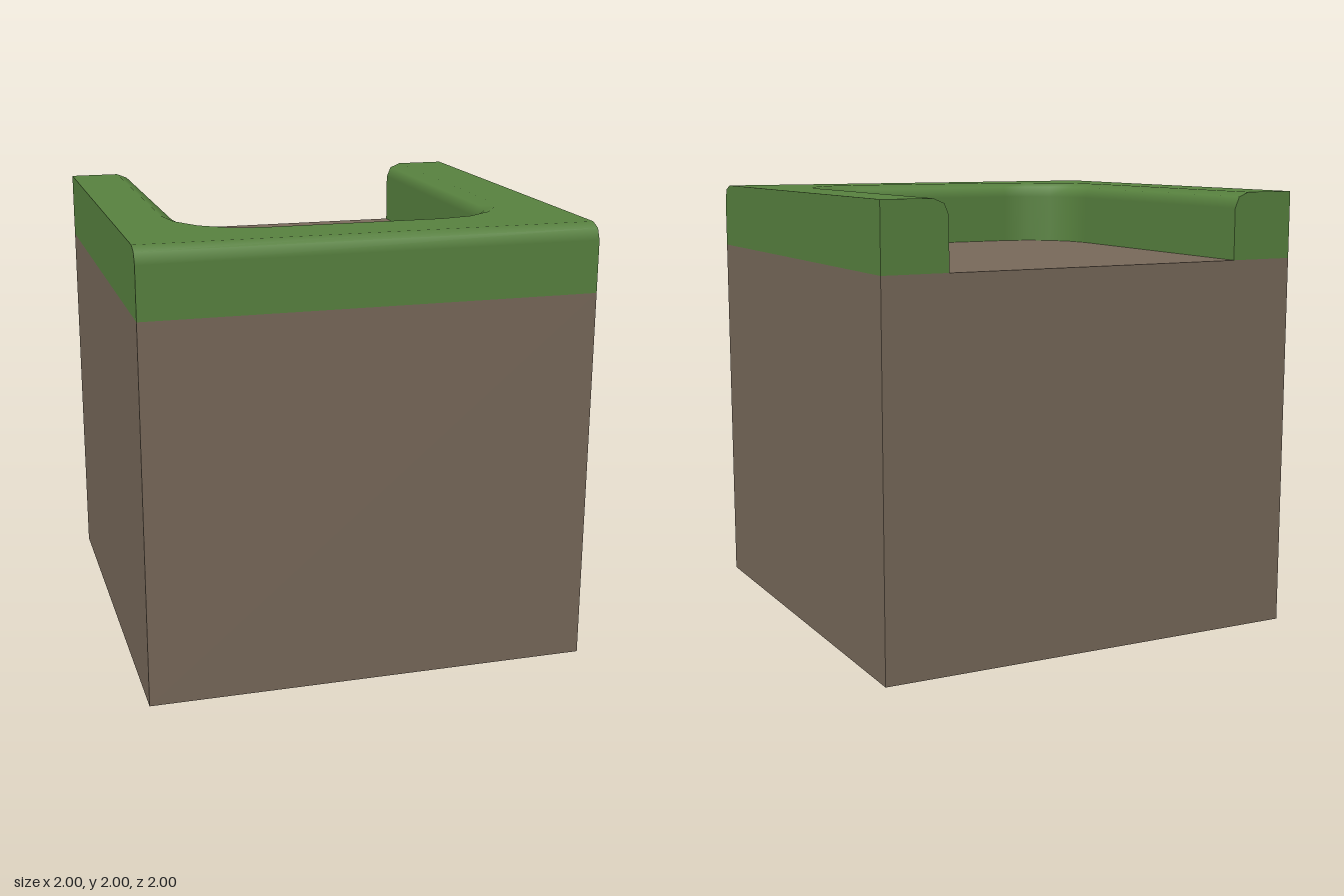
import * as THREE from 'three';

const BASE = 1.7, TOP = 2, R = 0.07, STEPS = 2;

// Upright wall with a rounded top edge, swept along path points { x, z, nx, nz }
function sweepWall(path) {
  const pos = [], nor = [], idx = [];
  const rows = STEPS + 2;
  for (const p of path) {
    for (let i = 0; i < rows; i++) {
      const a = i === 0 ? 0 : ((i - 1) / STEPS) * Math.PI / 2;
      const inset = R * (1 - Math.cos(a));
      const y = i === 0 ? BASE : TOP - R + R * Math.sin(a);
      pos.push(p.x - p.nx * inset, y, p.z - p.nz * inset);
      nor.push(p.nx * Math.cos(a), Math.sin(a), p.nz * Math.cos(a));
    }
  }
  for (let j = 0; j < path.length - 1; j++) {
    for (let i = 0; i < rows - 1; i++) {
      const a = j * rows + i, b = a + rows;
      idx.push(a, b, b + 1, a, b + 1, a + 1);
    }
  }
  const g = new THREE.BufferGeometry();
  g.setAttribute('position', new THREE.Float32BufferAttribute(pos, 3));
  g.setAttribute('normal', new THREE.Float32BufferAttribute(nor, 3));
  g.setIndex(idx);
  return g;
}

function flat(points) {
  return new THREE.ShapeGeometry(new THREE.Shape(points.map(([x, y]) => new THREE.Vector2(x, y))));
}

// Quarter-round corner from the upright face at u towards the top, heading in direction dir
function roundedCorner(u, dir) {
  const pts = [];
  for (let i = 0; i <= STEPS; i++) {
    const a = (i / STEPS) * Math.PI / 2;
    pts.push([u + dir * R * (1 - Math.cos(a)), TOP - R + R * Math.sin(a)]);
  }
  return pts;
}

export function createModel() {
  const dirt = new THREE.MeshStandardMaterial({ color: 0x78695a, side: THREE.DoubleSide });
  const grass = new THREE.MeshStandardMaterial({ color: 0x58823f, side: THREE.DoubleSide });
  const model = new THREE.Group();
  model.name = 'grassEdgedBlock';
  const add = (name, geometry, material) => {
    const mesh = new THREE.Mesh(geometry, material);
    mesh.name = name;
    model.add(mesh);
  };

  // Dirt block, open underneath (the bottom face of the box is left out)
  const block = new THREE.BoxGeometry(2, BASE, 2).translate(0, BASE / 2, 0);
  const faces = Array.from(block.index.array);
  faces.splice(18, 6);
  block.setIndex(faces);
  block.clearGroups();
  add('dirtBlock', block, dirt);

  // U-shaped inner outline of the grass rim, open at the back
  const inner = [{ x: 0.7, z: -1, nx: -1, nz: 0 }];
  for (const start of [0, Math.PI / 2]) {
    for (let i = 0; i <= 4; i++) {
      const a = start + (i / 4) * Math.PI / 2;
      const c = Math.cos(a), s = Math.sin(a);
      inner.push({ x: (start ? -0.4 : 0.4) + 0.3 * c, z: 0.3 + 0.32 * s, nx: -c, nz: -s });
    }
  }
  inner.push({ x: -0.7, z: -1, nx: 1, nz: 0 });
  add('grassInnerWall', sweepWall(inner), grass);

  // Rounded front face
  add('grassFront', sweepWall([{ x: -1, z: 1, nx: 0, nz: 1 }, { x: 1, z: 1, nx: 0, nz: 1 }]), grass);

  // Flat top between the two rounded edges
  const rim = inner.map(p => [p.x - p.nx * R, -(p.z - p.nz * R)]);
  const top = flat([...rim, [-1, 1], [-1, R - 1], [1, R - 1], [1, 1]]);
  add('grassTop', top.rotateX(-Math.PI / 2).translate(0, TOP, 0), grass);

  // Outer sides and the cut ends at the back
  for (const side of [1, -1]) {
    const label = side > 0 ? 'Left' : 'Right';
    const outer = flat([[side, BASE], [-side, BASE], ...roundedCorner(-side, side), [side, TOP]]);
    add('grassSide' + label, outer.rotateY(side * Math.PI / 2).translate(side, 0, 0), grass);

    const end = flat([[-side, BASE], [-side * 0.7, BASE], ...roundedCorner(-side * 0.7, -side), [-side, TOP]]);
    add('grassEnd' + label, end.rotateY(Math.PI).translate(0, 0, -1), grass);
  }
  return model;
}
